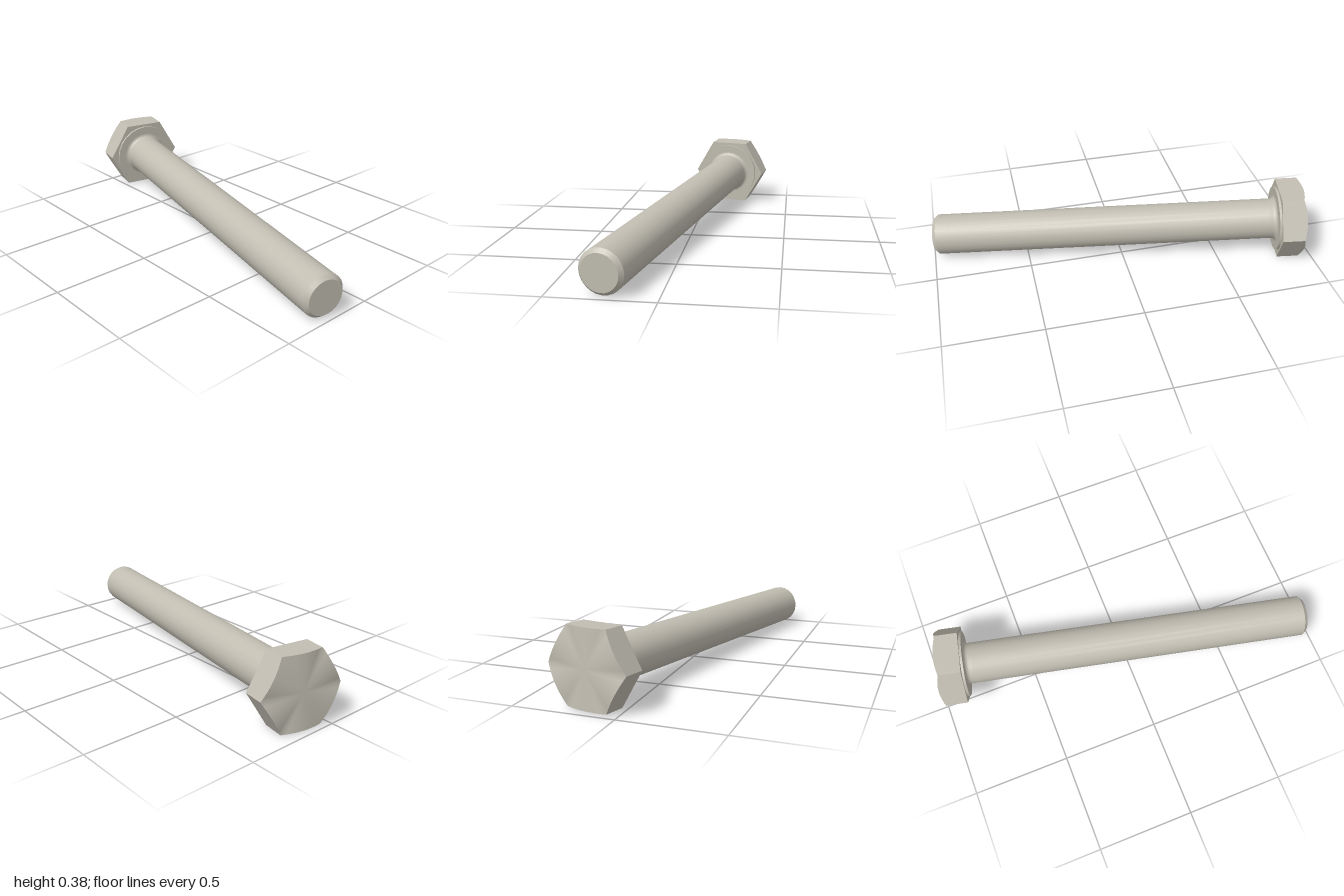
import * as THREE from 'three';

const SIDES = 24;
const APOTHEM = 0.185;
const HEAD_HEIGHT = 0.13;
const SHAFT_RADIUS = 0.108;

// Hexagonal head, local +y towards the shaft; the outer rim is cut by a shallow cone
function headGeometry() {
  const steps = 8, count = 6 * steps, pos = [], index = [];
  const add = (x, y, z) => pos.push(x, y, z) / 3 - 1;
  const rim = (i) => {
    const flat = Math.PI / 6 + Math.floor(i / steps) * Math.PI / 3;
    const t = ((i % steps) / steps * 2 - 1) * APOTHEM * Math.tan(Math.PI / 6);
    const x = APOTHEM * Math.sin(flat) + t * Math.cos(flat);
    const z = APOTHEM * Math.cos(flat) - t * Math.sin(flat);
    return [x, -HEAD_HEIGHT + 0.58 * (Math.hypot(x, z) - APOTHEM), z];
  };

  // outer end and bearing face
  const endCentre = add(0, -HEAD_HEIGHT, 0);
  const end = [], base = [];
  for (let i = 0; i < count; i++) end.push(add(...rim(i)));
  const baseCentre = add(0, 0, 0);
  for (let i = 0; i < count; i++) base.push(add(rim(i)[0], 0, rim(i)[2]));
  for (let i = 0; i < count; i++) {
    const j = (i + 1) % count;
    index.push(endCentre, end[j], end[i], baseCentre, base[i], base[j]);
  }

  // six flats with sharp edges
  for (let i = 0; i < count; i++) {
    const p = rim(i), q = rim((i + 1) % count);
    const a = add(...p), b = add(...q), c = add(q[0], 0, q[2]), d = add(p[0], 0, p[2]);
    index.push(a, b, c, a, c, d);
  }

  const geometry = new THREE.BufferGeometry();
  geometry.setAttribute('position', new THREE.Float32BufferAttribute(pos, 3));
  geometry.setIndex(index);
  geometry.computeVertexNormals();
  return geometry;
}

export function createModel() {
  const steel = new THREE.MeshStandardMaterial({ color: 0xc2beb2 });
  steel.name = 'steel';

  const bolt = new THREE.Group();
  bolt.name = 'bolt';
  const addPart = (name, geometry) => {
    const mesh = new THREE.Mesh(geometry, steel);
    mesh.name = name;
    bolt.add(mesh);
  };
  const lathe = (...points) =>
    new THREE.LatheGeometry(points.map(([r, y]) => new THREE.Vector2(r, y)), SIDES);

  // Placement: from the bearing face of the head to the tip
  const start = new THREE.Vector3(-0.832, 0.186, -0.132);
  const tip = new THREE.Vector3(0.979, 0.11, 0.253);
  const length = tip.distanceTo(start);

  addPart('head', headGeometry());

  // Raised bearing collar
  addPart('collarEdge', lathe([0.172, 0], [0.172, 0.012]));
  addPart('collarFace', lathe([0.172, 0.012], [0.128, 0.012]));

  // Shaft with a fillet at the collar
  const fillet = [];
  for (let i = 0; i <= 5; i++) {
    const a = i / 5 * Math.PI / 2;
    fillet.push([SHAFT_RADIUS + 0.02 * (1 - Math.sin(a)), 0.012 + 0.02 * (1 - Math.cos(a))]);
  }
  addPart('shaft', lathe(...fillet, [SHAFT_RADIUS, 0.05], [SHAFT_RADIUS, length - 0.02]));

  // Chamfered tip
  addPart('tipChamfer', lathe([SHAFT_RADIUS, length - 0.02], [0.09, length]));
  addPart('tipFace', lathe([0.09, length], [0, length]));

  // Lay the bolt along its axis, with two flats of the head level
  const yAxis = tip.clone().sub(start).normalize();
  const xAxis = new THREE.Vector3().crossVectors(yAxis, new THREE.Vector3(0, 0, 1)).normalize();
  const zAxis = new THREE.Vector3().crossVectors(xAxis, yAxis);
  bolt.quaternion.setFromRotationMatrix(new THREE.Matrix4().makeBasis(xAxis, yAxis, zAxis));
  bolt.position.copy(start);

  const model = new THREE.Group();
  model.name = 'hexBolt';
  model.add(bolt);
  return model;
}
